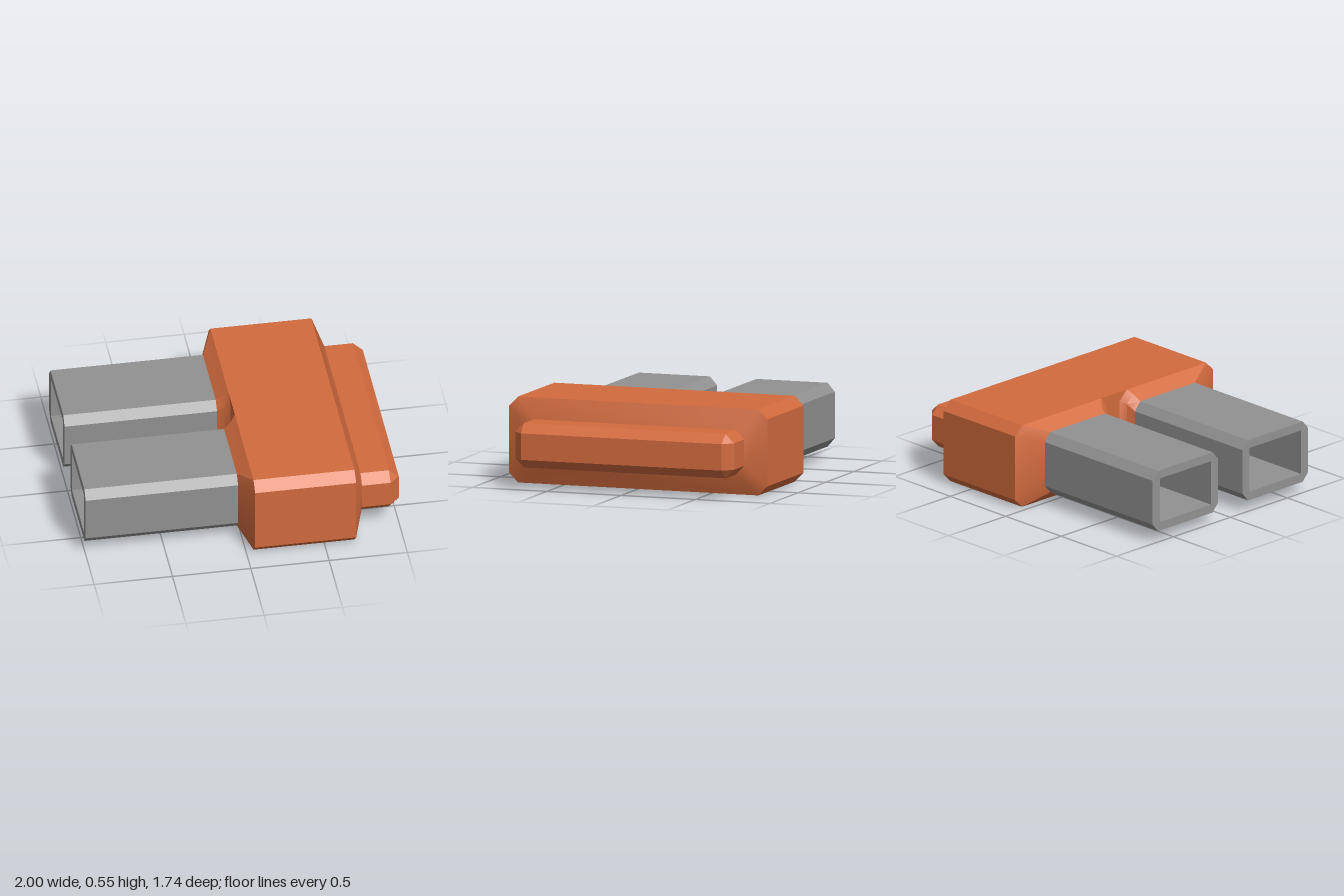
import * as THREE from 'three';
import { toCreasedNormals } from 'three/addons/utils/BufferGeometryUtils.js';

// Chamfered rectangle in the z-y plane, as [z, y] corners
function octagon(z0, z1, y0, y1, cz, cy = cz) {
  return [
    [z1, y0 + cy], [z1, y1 - cy], [z1 - cz, y1], [z0 + cz, y1],
    [z0, y1 - cy], [z0, y0 + cy], [z0 + cz, y0], [z1 - cz, y0],
  ];
}

// Skin through rings [x, corners], ordered by rising x
function loft(rings, startCap, endCap) {
  const pos = [];
  const n = rings[0][1].length;
  const put = (r, i) => {
    const [z, y] = rings[r][1][i % n];
    pos.push(rings[r][0], y, z);
  };
  const last = rings.length - 1;
  for (let r = 0; r < last; r++) {
    for (let i = 0; i < n; i++) {
      put(r, i); put(r + 1, i); put(r + 1, i + 1);
      put(r, i); put(r + 1, i + 1); put(r, i + 1);
    }
  }
  for (let i = 1; i < n - 1; i++) {
    if (startCap) { put(0, 0); put(0, i); put(0, i + 1); }
    if (endCap) { put(last, 0); put(last, i + 1); put(last, i); }
  }
  const g = new THREE.BufferGeometry();
  g.setAttribute('position', new THREE.Float32BufferAttribute(pos, 3));
  return toCreasedNormals(g, 0.52);
}

export function createModel() {
  const model = new THREE.Group();
  model.name = 'plugConnector';
  const orange = new THREE.MeshStandardMaterial({ color: 0xd26b3e });
  const grey = new THREE.MeshStandardMaterial({ color: 0x929292, flatShading: true });
  const add = (name, geometry, material) => {
    const mesh = new THREE.Mesh(geometry, material);
    mesh.name = name;
    model.add(mesh);
  };

  // Main body, tapering at its end to the nose
  const block = octagon(-0.868, 0.868, 0, 0.547, 0.06);
  const nose = octagon(-0.735, 0.735, 0.135, 0.417, 0.057);
  add('body', loft([[0.05, block], [0.695, block], [0.755, nose]], true, false), orange);

  // Nose with bevelled end
  const tip = octagon(-0.675, 0.675, 0.192, 0.36, 0);
  add('nose', loft([[0.755, nose], [0.937, nose], [1, tip]], false, true), orange);

  // Two hollow prongs, each with a flared collar
  for (const side of [1, -1]) {
    const section = (inner, outer, ...rest) =>
      octagon(Math.min(side * inner, side * outer), Math.max(side * inner, side * outer), ...rest);
    const outline = section(0.108, 0.683, 0.073, 0.478, 0.048, 0.055);

    add(side > 0 ? 'leftCollar' : 'rightCollar', loft([
      [-0.027, outline],
      [0.02, section(0.085, 0.796, 0.028, 0.519, 0.055)],
      [0.05, section(0.05, 0.868, 0, 0.547, 0.06)],
    ], false, false), orange);

    // The bore runs opposite to the outline so its walls face inward
    const toPoint = ([z, y]) => new THREE.Vector2(-z, y);
    const bore = section(0.17, 0.62, 0.13, 0.422, 0).filter((_, i) => i % 2 === 0);
    const shape = new THREE.Shape(outline.map(toPoint));
    shape.holes.push(new THREE.Path(bore.reverse().map(toPoint)));
    const tube = new THREE.ExtrudeGeometry(shape, { depth: 1.05, bevelEnabled: false });
    tube.rotateY(Math.PI / 2).translate(-1, 0, 0);
    add(side > 0 ? 'leftProng' : 'rightProng', tube, grey);
  }
  return model;
}
